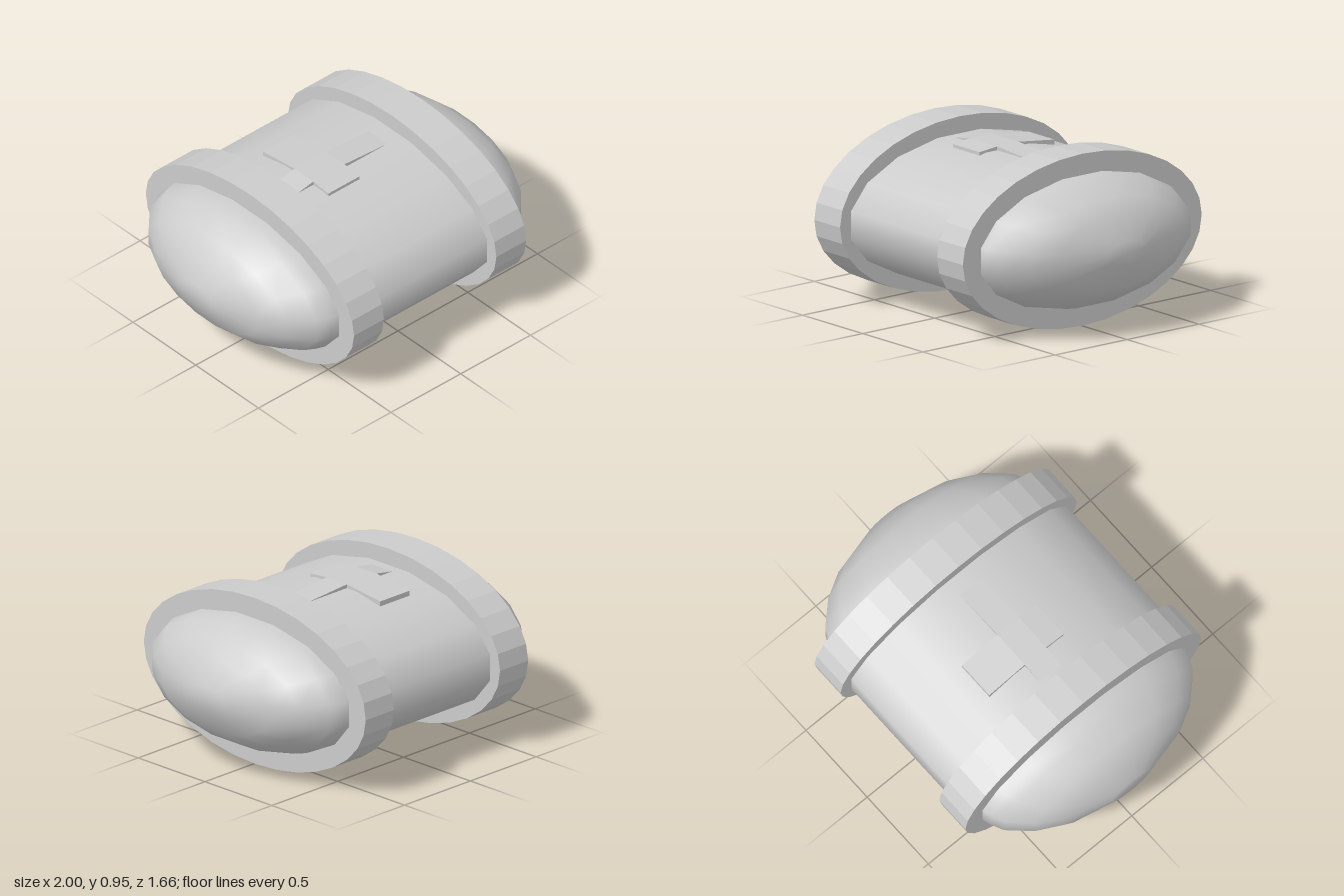
import * as THREE from 'three';

const CENTRE_Y = 0.474;
const HALF_STEP = Math.PI / 16; // turns a 16-sided section so flats face up and sideways

export function createModel() {
  const group = new THREE.Group();
  group.name = 'capsuleContainer';
  const smooth = new THREE.MeshStandardMaterial({ color: 0xcccccc });
  const flat = new THREE.MeshStandardMaterial({ color: 0xcccccc, flatShading: true });

  function add(name, geometry, material, x, y, z = 0) {
    const mesh = new THREE.Mesh(geometry, material);
    mesh.name = name;
    mesh.position.set(x, y, z);
    group.add(mesh);
    return mesh;
  }

  // Oval barrel lying along x
  const barrel = new THREE.CylinderGeometry(1, 1, 1.1, 16, 1, true, HALF_STEP);
  barrel.rotateZ(Math.PI / 2).scale(1, 0.387, 0.77);
  add('barrel', barrel, smooth, 0, CENTRE_Y, -0.003);

  // Rounded end caps: [distance along x, radius as a share of the full section]
  const profile = [
    [0.5, 1], [0.61, 0.985], [0.66, 0.965], [0.73, 0.92],
    [0.845, 0.755], [0.925, 0.56], [1, 0.182], [1, 0],
  ].map(([x, r]) => new THREE.Vector2(r, x));
  for (const side of [1, -1]) {
    const cap = new THREE.LatheGeometry(profile, 16, HALF_STEP);
    cap.rotateZ(-Math.PI / 2).scale(1, 0.371, 0.735);
    if (side < 0) cap.rotateY(Math.PI);
    add(side > 0 ? 'leftEndCap' : 'rightEndCap', cap, smooth, 0, CENTRE_Y, -0.003);
  }

  // Broad faceted bands around both ends of the barrel
  for (const [name, x] of [['leftBand', 0.518], ['rightBand', -0.502]]) {
    const band = new THREE.CylinderGeometry(1, 1, 0.214, 32);
    band.rotateZ(Math.PI / 2).scale(1, 0.474, 0.83);
    add(name, band, flat, x, CENTRE_Y, -0.003);
  }

  // Raised cross on top: a centre block and four arms sloping down outwards
  const top = 0.875, base = 0.79;
  const x0 = -0.22, x1 = 0.004, z0 = -0.08, z1 = 0.07;
  function crossBlock(name, [xa, xb], [za, zb], lowered = () => 0) {
    const geometry = new THREE.BoxGeometry(xb - xa, top - base, zb - za);
    geometry.translate((xa + xb) / 2, (top + base) / 2, (za + zb) / 2);
    const p = geometry.attributes.position;
    for (let i = 0; i < p.count; i++) {
      if (p.getY(i) > (top + base) / 2) p.setY(i, top - lowered(p.getX(i), p.getZ(i)));
    }
    add(name, geometry, flat, 0, 0);
  }
  crossBlock('crossCentre', [x0, x1], [z0, z1]);
  crossBlock('crossLeftArm', [x1, 0.36], [z0, z1], (x) => (x > 0.1 ? 0.025 : 0));
  crossBlock('crossRightArm', [-0.36, x0], [z0, z1], (x) => (x < -0.3 ? 0.025 : 0));
  crossBlock('crossFrontArm', [x0, x1], [z1, 0.19], (x, z) => (z > 0.1 ? 0.012 : 0));
  crossBlock('crossBackArm', [x0, x1], [-0.33, z0], (x, z) => (z < -0.2 ? 0.03 : 0));

  return group;
}
